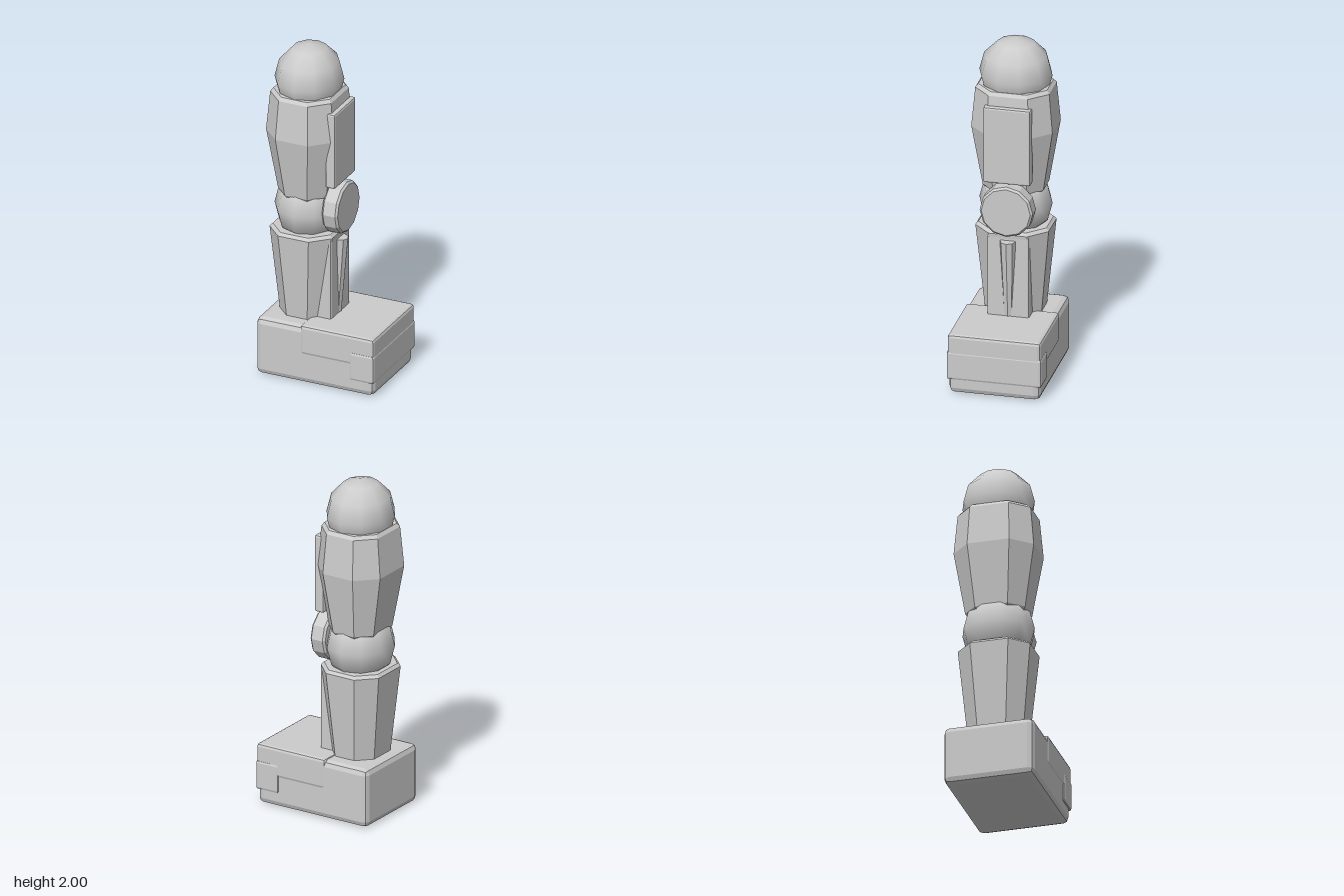
import * as THREE from 'three';
import { RoundedBoxGeometry } from 'three/addons/geometries/RoundedBoxGeometry.js';

const flat = new THREE.MeshStandardMaterial({ color: 0xcccccc, flatShading: true });
const smooth = new THREE.MeshStandardMaterial({ color: 0xcccccc });
const AXIS = -0.158; // x of the leg's vertical axis

// Chamfered box given by its limits on each axis
function bevelBox([x0, x1], [y0, y1], [z0, z1], bevel) {
  const g = new RoundedBoxGeometry(x1 - x0, y1 - y0, z1 - z0, 1, bevel);
  return g.translate((x0 + x1) / 2, (y0 + y1) / 2, (z0 + z1) / 2);
}

// Octagonal loft; each section is [y, half width x, half depth z, corner cut]
function octagonLoft(sections) {
  const rings = sections.map(([y, a, b, c]) => [
    [a, b - c], [a - c, b], [c - a, b], [-a, b - c],
    [-a, c - b], [c - a, -b], [a - c, -b], [a, c - b],
  ].map(([x, z]) => [x, y, z]));
  const pos = [];
  const tri = (...corners) => corners.forEach((p) => pos.push(...p));
  for (let r = 0; r < rings.length - 1; r++) {
    const lo = rings[r], hi = rings[r + 1];
    for (let i = 0; i < 8; i++) {
      const j = (i + 1) % 8;
      tri(lo[i], hi[i], hi[j]);
      tri(lo[i], hi[j], lo[j]);
    }
  }
  const bottom = rings[0], top = rings[rings.length - 1];
  for (let i = 1; i < 7; i++) {
    tri(bottom[0], bottom[i], bottom[i + 1]);
    tri(top[0], top[i + 1], top[i]);
  }
  const g = new THREE.BufferGeometry();
  g.setAttribute('position', new THREE.Float32BufferAttribute(pos, 3));
  g.computeVertexNormals();
  return g.translate(AXIS, 0, 0);
}

// Slightly narrowed ten-sided ball joint
function ball(y) {
  const g = new THREE.SphereGeometry(0.212, 10, 6);
  return g.rotateY(Math.PI / 2).scale(0.925, 1, 1).translate(AXIS, y, 0);
}

export function createModel() {
  const model = new THREE.Group();
  const add = (name, geometry, material = flat) => {
    const mesh = new THREE.Mesh(geometry, material);
    mesh.name = name;
    model.add(mesh);
    return mesh;
  };

  // Foot: sole block, raised front cover and side caps at the toe
  add('footBlock', bevelBox([-0.37, 0.365], [0.005, 0.355], [-0.265, 0.265], 0.035));
  add('footCover', bevelBox([-0.09, 0.37], [0.185, 0.365], [-0.27, 0.27], 0.018));
  add('toeCaps', bevelBox([0.22, 0.372], [0.09, 0.265], [-0.275, 0.275], 0.015));

  // Shin with its front plate
  add('shin', octagonLoft([
    [0.33, 0.143, 0.162, 0.08],
    [0.865, 0.195, 0.212, 0.1],
    [0.882, 0.18, 0.197, 0.095],
  ]));
  add('shinPlate', bevelBox([-0.1, 0.035], [0.34, 0.865], [-0.122, 0.122], 0.012));

  // Tapered piston leaning along the shin
  const piston = add('shinPiston', new THREE.CylinderGeometry(0.046, 0.028, 0.5, 8));
  piston.position.set(0.023, 0.58, 0);
  piston.rotation.z = -0.055;

  // Knee joint and chamfered knee disc
  add('kneeBall', ball(1.0), smooth);
  const disc = new THREE.LatheGeometry([
    [0, -0.05], [0.142, -0.05], [0.154, -0.038],
    [0.154, 0.036], [0.142, 0.048], [0, 0.048],
  ].map(([r, h]) => new THREE.Vector2(r, h)), 12);
  add('kneeDisc', disc.rotateZ(-Math.PI / 2).translate(0.038, 1.024, 0));

  // Thigh, bulging at mid height, with its front panel
  add('thigh', octagonLoft([
    [1.09, 0.137, 0.163, 0.075],
    [1.108, 0.15, 0.176, 0.08],
    [1.475, 0.212, 0.235, 0.112],
    [1.71, 0.19, 0.214, 0.1],
    [1.73, 0.175, 0.199, 0.095],
  ]));
  add('thighPanel', bevelBox([0.005, 0.066], [1.187, 1.652], [-0.137, 0.137], 0.012));

  // Hip joint
  add('hipBall', ball(1.788), smooth);

  return model;
}
